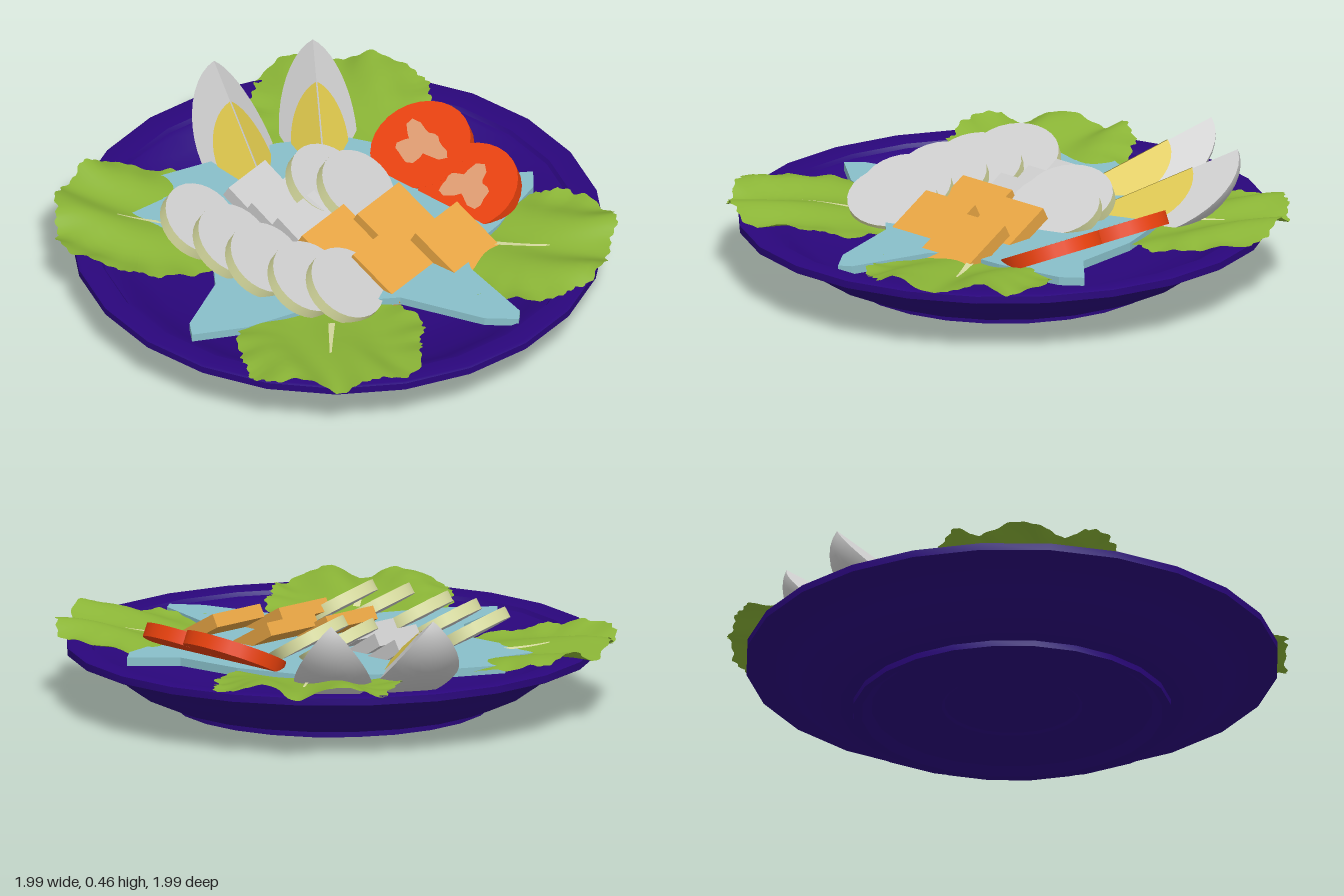
import * as THREE from 'three';
import { toCreasedNormals } from 'three/addons/utils/BufferGeometryUtils.js';

const mat = (name, color, side = THREE.FrontSide) => {
  const m = new THREE.MeshStandardMaterial({ color, side });
  m.name = name;
  return m;
};

export function createModel() {
  const model = new THREE.Group();
  model.name = 'saladPlate';
  const both = THREE.DoubleSide;
  const purple = mat('plate purple', 0x2a067c);
  const blue = mat('pale blue', 0x88bfc9);
  const green = mat('lettuce green', 0x8ab436, both);
  const white = mat('white', 0xcccccc, both);
  const rind = mat('pale rind', 0xd8dca0, both);
  const yolk = mat('yolk yellow', 0xdcc64c, both);
  const orange = mat('cheese orange', 0xe6a443);
  const red = mat('tomato red', 0xe6400c);
  const pulp = mat('tomato pulp', 0xdc9a70, both);

  const add = (name, geo, material, pos = [0, 0, 0], parent = model) => {
    const m = new THREE.Mesh(geo, material);
    m.name = name;
    m.position.set(...pos);
    parent.add(m);
    return m;
  };
  // Lean an object's up axis by `tilt` towards the compass direction `az` (0 = +z)
  const lean = (obj, az, tilt) => obj.rotation.set(tilt, az, 0, 'YXZ');

  // Plate: one turned profile, underside first, then rim and well
  const profile = [
    [0, 0.035], [0.24, 0.035], [0.25, 0.028], [0.5, 0.025], [0.535, 0], [0.567, 0], [0.567, 0.022],
    [0.615, 0.03], [0.7, 0.065], [0.78, 0.122], [0.85, 0.178], [0.94, 0.196], [0.947, 0.2],
    [0.947, 0.226], [0.937, 0.23], [0.86, 0.222], [0.85, 0.208], [0.83, 0.204], [0.77, 0.165],
    [0.68, 0.12], [0.5, 0.085], [0, 0.075],
  ].map(p => new THREE.Vector2(...p));
  const plate = add('plate', toCreasedNormals(new THREE.LatheGeometry(profile, 24), 0.5), purple, [0.01, 0, 0.017]);
  plate.rotation.y = Math.PI / 24;

  // Star-shaped bed under the food
  const bedOutline = [
    [-0.14, -0.53], [0.1, -0.54], [0.35, -0.42], [0.55, -0.25], [0.74, -0.25], [0.73, -0.16],
    [0.58, 0.05], [0.44, 0.2], [0.45, 0.3], [0.59, 0.57], [0.58, 0.62], [0.46, 0.6], [0.18, 0.44],
    [-0.08, 0.44], [-0.38, 0.55], [-0.58, 0.57], [-0.58, 0.5], [-0.46, 0.28], [-0.45, 0.1],
    [-0.62, -0.06], [-0.7, -0.18], [-0.58, -0.25], [-0.6, -0.38],
  ].map(p => new THREE.Vector2(...p));
  const bed = new THREE.ExtrudeGeometry(new THREE.Shape(bedOutline), { depth: 0.03, bevelEnabled: false });
  add('bed', bed.rotateX(Math.PI / 2), blue, [0, 0.224, 0]);

  // Ruffled lettuce leaves: a disc with a ragged rim, folded and raised outwards
  const leafHeight = (u, v, k) => {
    const s = THREE.MathUtils.smoothstep(v, 0.4, 1);
    return 0.205 + 0.055 * s + (0.003 + 0.02 * s) * Math.sin(u * 22 + 2 * Math.sin(v * 5 + k) + k);
  };
  const leaf = (az, k) => {
    const group = new THREE.Group();
    group.name = 'lettuceLeaf';
    group.rotation.y = az;
    const geo = new THREE.RingGeometry(0.001, 1, 180, 10);
    const p = geo.attributes.position;
    for (let i = 0; i < p.count; i++) {
      const x = p.getX(i), y = p.getY(i), a = Math.atan2(y, x), r = Math.hypot(x, y);
      const rag = 1 + r ** 4 * (0.022 * Math.sin(7 * a + k) + 0.016 * Math.sin(19 * a + 2 * k)
        + 0.016 * Math.sin(43 * a + 3 * Math.sin(5 * a)));
      const square = 1 + 0.11 * Math.sin(2 * a) ** 2;
      const u = 0.325 * x * rag * square, v = 0.682 - 0.308 * y * rag * square;
      p.setXYZ(i, u, leafHeight(u, v, k) + 0.006 * r ** 6 * Math.sin(13 * a + k), v);
    }
    geo.computeVertexNormals();
    add('leafBlade', geo, green, [0, 0, 0], group);
    // Pale rib following the leaf
    const rib = new THREE.PlaneGeometry(0.022, 0.2, 1, 10).rotateX(-Math.PI / 2);
    const q = rib.attributes.position;
    for (let i = 0; i < q.count; i++) {
      const v = q.getZ(i) + 0.67, u = q.getX(i) * (0.85 - v) * 4;
      q.setXYZ(i, u, leafHeight(u, v, k) + 0.005, v);
    }
    rib.computeVertexNormals();
    add('leafRib', rib, rind, [0, 0, 0], group);
    model.add(group);
  };
  [[0.11, -0.7], [-0.7, -0.13], [0.69, 0.19], [-0.1, 0.7]].forEach(([x, z], i) => leaf(Math.atan2(x, z), i * 1.7));

  // Slightly oval cucumber slices, overlapping in a row and a pair
  const slice = new THREE.CylinderGeometry(0.165, 0.165, 0.042, 28).scale(1, 1, 0.87);
  [[-0.48, -0.035], [-0.38, 0.1], [-0.28, 0.225], [-0.145, 0.355], [-0.015, 0.41], [-0.01, -0.215], [0.095, -0.165]]
    .forEach(([x, z]) => lean(add('cucumberSlice', slice, [rind, white, white], [x, 0.27, z]), 1.12, 0.54));

  // Cheese squares and small white blocks
  const square = new THREE.BoxGeometry(0.24, 0.05, 0.24);
  [[0.225, 0.035], [0.015, 0.14], [0.18, 0.275], [0.415, 0.175]]
    .forEach(([x, z]) => lean(add('cheeseSquare', square, orange, [x, 0.24, z]), Math.PI / 4, 0.5));
  const block = new THREE.BoxGeometry(0.21, 0.05, 0.2);
  [[-0.23, -0.2], [-0.16, -0.1], [-0.08, 0]]
    .forEach(([x, z]) => lean(add('whiteBlock', block, white, [x, 0.232, z]), Math.PI / 4, 0.54));

  // Two joined tomato slices, each with an irregular pulp patch
  const blob = (size, k) => {
    const pts = [];
    for (let i = 0; i < 24; i++) {
      const a = i / 24 * Math.PI * 2;
      const r = size * (1 + 0.28 * Math.sin(3 * a + k) + 0.2 * Math.sin(5 * a + 2 * k));
      pts.push(new THREE.Vector2(r * 1.15 * Math.cos(a), r * 0.9 * Math.sin(a)));
    }
    return new THREE.ShapeGeometry(new THREE.Shape(pts)).rotateX(-Math.PI / 2);
  };
  [[0.36, 0.268, -0.375], [0.5, 0.243, -0.14]].forEach((pos, i) => {
    const tomato = new THREE.Group();
    tomato.name = 'tomatoSlice';
    tomato.position.set(...pos);
    lean(tomato, Math.atan2(-0.74, 0.67), 0.43);
    add('tomatoFlesh', new THREE.CylinderGeometry(0.185, 0.185, 0.05, 28), red, [0, 0, 0], tomato);
    add('tomatoPulp', blob(0.078, i * 2 + 1), pulp, [0, 0.029, 0], tomato);
    model.add(tomato);
  });

  // Egg wedges: a quarter-turn shell closed by two flat cut faces with yolk
  const halfOval = (r, h, cy) => Array.from({ length: 21 }, (_, i) => {
    const a = i / 20 * Math.PI;
    return new THREE.Vector2(r * Math.sin(a), cy - h * Math.cos(a));
  });
  const eggOutline = halfOval(0.195, 0.31, 0);
  const shell = new THREE.LatheGeometry(eggOutline, 12, Math.PI * 0.75, Math.PI / 2);
  const cut = new THREE.ShapeGeometry(new THREE.Shape(eggOutline));
  const yolkCut = new THREE.ShapeGeometry(new THREE.Shape(halfOval(0.14, 0.195, -0.06)));
  [[0.012, -0.527, -0.04], [-0.27, -0.452, 0.25]].forEach(([x, z, az]) => {
    const egg = new THREE.Group();
    egg.name = 'eggWedge';
    egg.position.set(x, 0.334, z);
    lean(egg, az, -1.15);
    add('eggShell', shell, white, [0, 0, 0], egg);
    for (const s of [1, -1]) {
      const face = new THREE.Group();
      face.name = 'eggCutFace';
      face.rotation.y = s > 0 ? Math.PI / 4 : Math.PI * 0.75;
      add('eggWhite', cut, white, [0, 0, 0], face);
      add('eggYolk', yolkCut, yolk, [0, 0, s * 0.004], face);
      egg.add(face);
    }
    model.add(egg);
  });

  return model;
}
